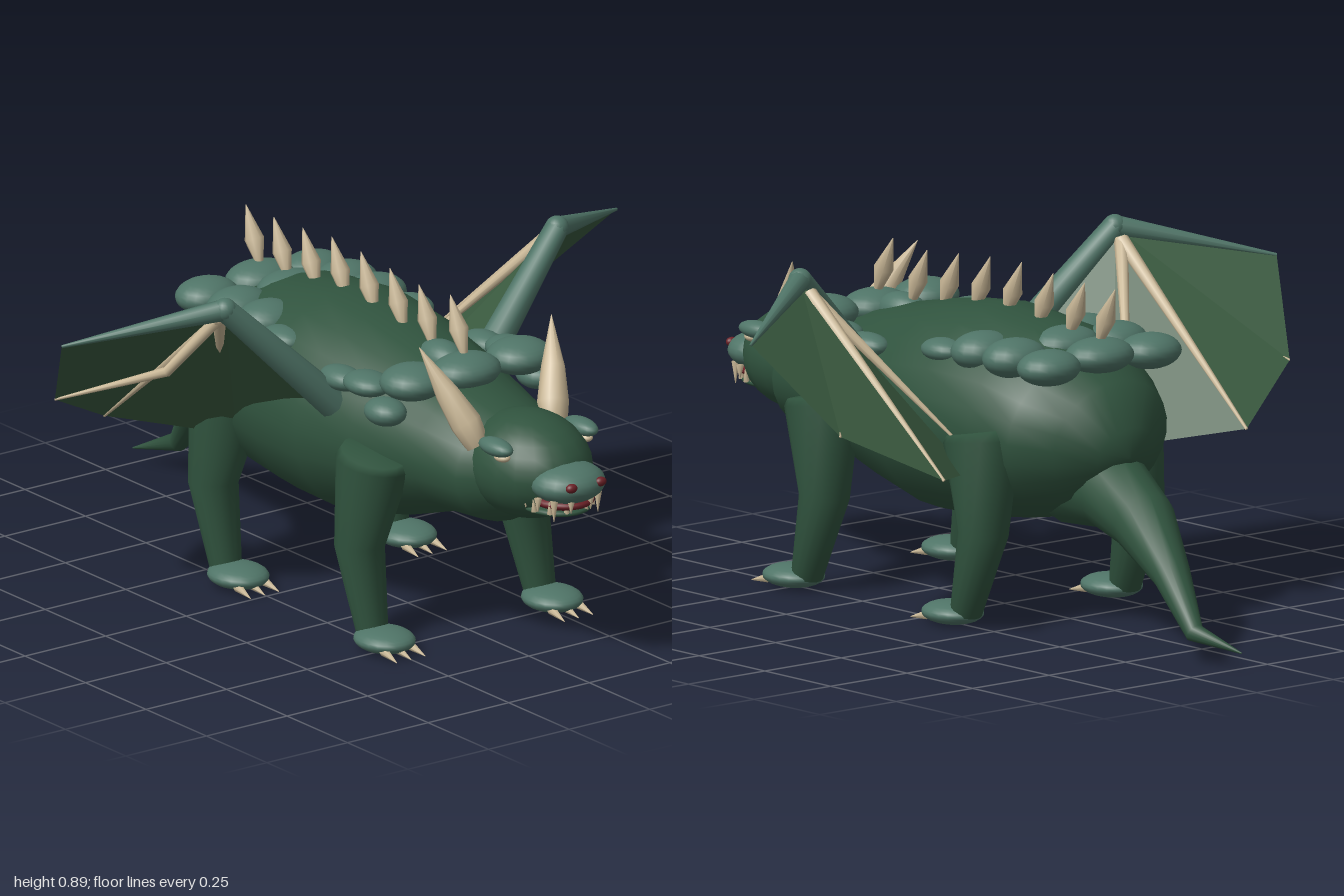
import * as THREE from 'three';

const mat = (name, color, extra = {}) => Object.assign(new THREE.MeshStandardMaterial({ color, ...extra }), { name });

export function createModel() {
  const hide = mat('dark green hide', 0x30533e);
  const scale = mat('teal scale', 0x4f7467);
  const bone = mat('ivory bone', 0xcbb998);
  const red = mat('dark red', 0x6a2026);
  const web = mat('wing membrane green', 0x3b5b40, { side: THREE.DoubleSide });
  const model = new THREE.Group();
  model.name = 'wingedBeast';

  const add = (name, geometry, material) => {
    const mesh = new THREE.Mesh(geometry, material);
    mesh.name = name;
    model.add(mesh);
    return mesh;
  };

  // Closed loft through elliptical sections [x, y, z, radiusA, radiusB]
  const loft = (name, pts, material, ref = [0, 1, 0], n = 16) => {
    const c = pts.map(p => new THREE.Vector3(p[0], p[1], p[2]));
    const up = new THREE.Vector3(...ref);
    const pos = [], idx = [];
    const last = pts.length - 1;
    c.forEach((p, i) => {
      const t = c[Math.min(i + 1, last)].clone().sub(c[Math.max(i - 1, 0)]).normalize();
      const u = up.clone().cross(t).normalize();
      const v = t.clone().cross(u);
      const a = pts[i][3], b = pts[i][4] ?? a;
      for (let j = 0; j < n; j++) {
        const th = j / n * Math.PI * 2;
        const q = p.clone().addScaledVector(u, a * Math.cos(th)).addScaledVector(v, b * Math.sin(th));
        pos.push(q.x, q.y, q.z);
      }
    });
    const start = pos.length / 3, end = start + 1;
    pos.push(...c[0].toArray(), ...c[last].toArray());
    for (let j = 0; j < n; j++) {
      const k = (j + 1) % n;
      for (let i = 0; i < last; i++) {
        const A = i * n + j, B = i * n + k;
        idx.push(A, B, B + n, A, B + n, A + n);
      }
      idx.push(start, k, j, end, last * n + j, last * n + k);
    }
    const g = new THREE.BufferGeometry();
    g.setAttribute('position', new THREE.Float32BufferAttribute(pos, 3));
    g.setIndex(idx);
    g.computeVertexNormals();
    return add(name, g, material);
  };

  const blob = (name, x, y, z, rx, ry, rz, material) => {
    const m = add(name, new THREE.SphereGeometry(1, 20, 14), material);
    m.position.set(x, y, z);
    m.scale.set(rx, ry, rz);
    return m;
  };

  // Torso and tail
  loft('body', [
    [0, .50, .78, .10, .09], [0, .49, .68, .175, .145], [0, .50, .54, .205, .165],
    [0, .495, .34, .25, .225], [0, .49, .16, .285, .265], [0, .50, 0, .295, .27],
    [0, .50, -.18, .28, .25], [0, .485, -.30, .25, .21], [0, .475, -.40, .185, .165],
    [0, .45, -.46, .09, .08], [0, .445, -.48, .01, .01],
  ], hide, [0, 1, 0], 24);
  loft('tail', [
    [0, .37, -.28, .12], [0, .355, -.42, .10], [.035, .305, -.57, .082],
    [.09, .205, -.74, .048], [.135, .085, -.88, .025], [.085, .045, -1, .002],
  ], hide);

  // Head
  blob('head', 0, .515, .745, .15, .135, .185, hide);
  blob('snout', 0, .51, .91, .098, .05, .09, scale);
  blob('mouth', 0, .463, .885, .08, .022, .09, red);
  blob('lowerJaw', 0, .44, .86, .088, .018, .10, hide);

  // Back spines: narrow root, wide lower third, swept tip
  [.475, .345, .225, .105, -.015, -.135, -.255, -.37].forEach((z, i) => {
    const y = [.74, .73, .74, .75, .755, .745, .74, .74][i];
    loft('backSpine', [[0, y - .02, z + .01, .008], [0, y + .045, z - .015, .025],
      [0, y + .125, z - .05, .001]], bone, [0, 0, 1], 8);
  });

  // Central back plates
  [.49, .39, -.11, -.23, -.36].forEach((z, i) =>
    blob('centrePlate', 0, [.685, .69, .705, .70, .69][i], z, i === 1 ? .05 : .095, .045, .075, scale));

  for (const s of [1, -1]) {
    // Side back plates
    [[.165, .69, .49, .085, .045, .08], [.235, .62, .47, .05, .035, .06],
      [.22, .665, .375, .055, .03, .07], [.22, .65, .27, .045, .03, .07],
      [.20, .675, 0, .05, .03, .065],
      [.165, .685, -.11, .088, .05, .072], [.165, .685, -.23, .088, .05, .072],
      [.165, .68, -.36, .085, .045, .072]]
      .forEach(([x, ...r]) => blob('sidePlate', s * x, ...r, scale));

    // Horns, brows, eyes and nostrils
    loft('horn', [[s * .12, .57, .70, .03], [s * .135, .625, .67, .04],
      [s * .165, .70, .63, .03], [s * .205, .81, .57, .001]], bone, [0, 0, 1], 10);
    blob('brow', s * .132, .595, .79, .03, .022, .06, scale);
    blob('eye', s * .128, .573, .81, .018, .012, .025, bone);
    blob('nostril', s * .045, .522, .987, .016, .012, .012, red);

    // Teeth around the jaw
    [[.03, .965], [.068, .945], [.088, .905], [.092, .86], [.09, .815], [.085, .775]].forEach(([x, z], i) => {
      const long = i === 1 ? .055 : .035;
      loft('upperTooth', [[s * x, .482, z, .011], [s * x, .482 - long, z, .001]], bone, [0, 0, 1], 6);
      loft('lowerTooth', [[s * x * .95, .442, z - .02, .009], [s * x, .474, z - .02, .001]], bone, [0, 0, 1], 6);
    });

    // Legs, feet and claws
    for (const dz of [0, -.605]) {
      loft(dz ? 'hindLeg' : 'frontLeg', [
        [s * .235, .50, dz + .425, .08, .09], [s * .235, .475, dz + .42, .092, .10],
        [s * .255, .25, dz + .39, .065, .062], [s * .26, .04, dz + .45, .042, .038],
      ], hide, [0, 0, 1]);
      blob('foot', s * .26, .036, dz + .50, .074, .03, .085, scale);
      for (const dx of [-.04, 0, .04]) {
        loft('claw', [[s * .26 + dx, .026, dz + .55, .013],
          [s * .26 + dx * 1.1, .012, dz + .61, .001]], bone, [0, 1, 0], 6);
      }
    }

    // Wing: arm, fingers and membrane
    const S = [s * .23, .58, .25], W = [s * .515, .865, .18], T = [s * .86, .78, -.035];
    const A = [s * .735, .56, -.23], B = [s * .495, .435, -.345], C = [s * .24, .39, -.14];
    loft('wingArm', [[...S, .042], [...W, .03]], scale, [0, 0, 1], 10);
    blob('wingWrist', ...W, .03, .03, .03, scale);
    loft('wingLeadingEdge', [[...W, .028], [...T, .004]], scale, [0, 0, 1], 10);
    const K = [s * .51, .835, .15];
    loft('outerFinger', [[...K, .016], [s * .575, .67, .02, .013], [...A, .003]], bone, [0, 1, 0], 8);
    loft('middleFinger', [[...K, .02], [...B, .004]], bone, [0, 1, 0], 8);
    loft('innerFinger', [[...K, .018], [s * .29, .49, -.135, .004]], bone, [0, 1, 0], 8);
    const g = new THREE.BufferGeometry();
    g.setAttribute('position', new THREE.Float32BufferAttribute(
      [W, T, A, W, A, B, W, B, C, W, C, S].flat(), 3));
    g.computeVertexNormals();
    add('wingMembrane', g, web);
  }
  return model;
}
